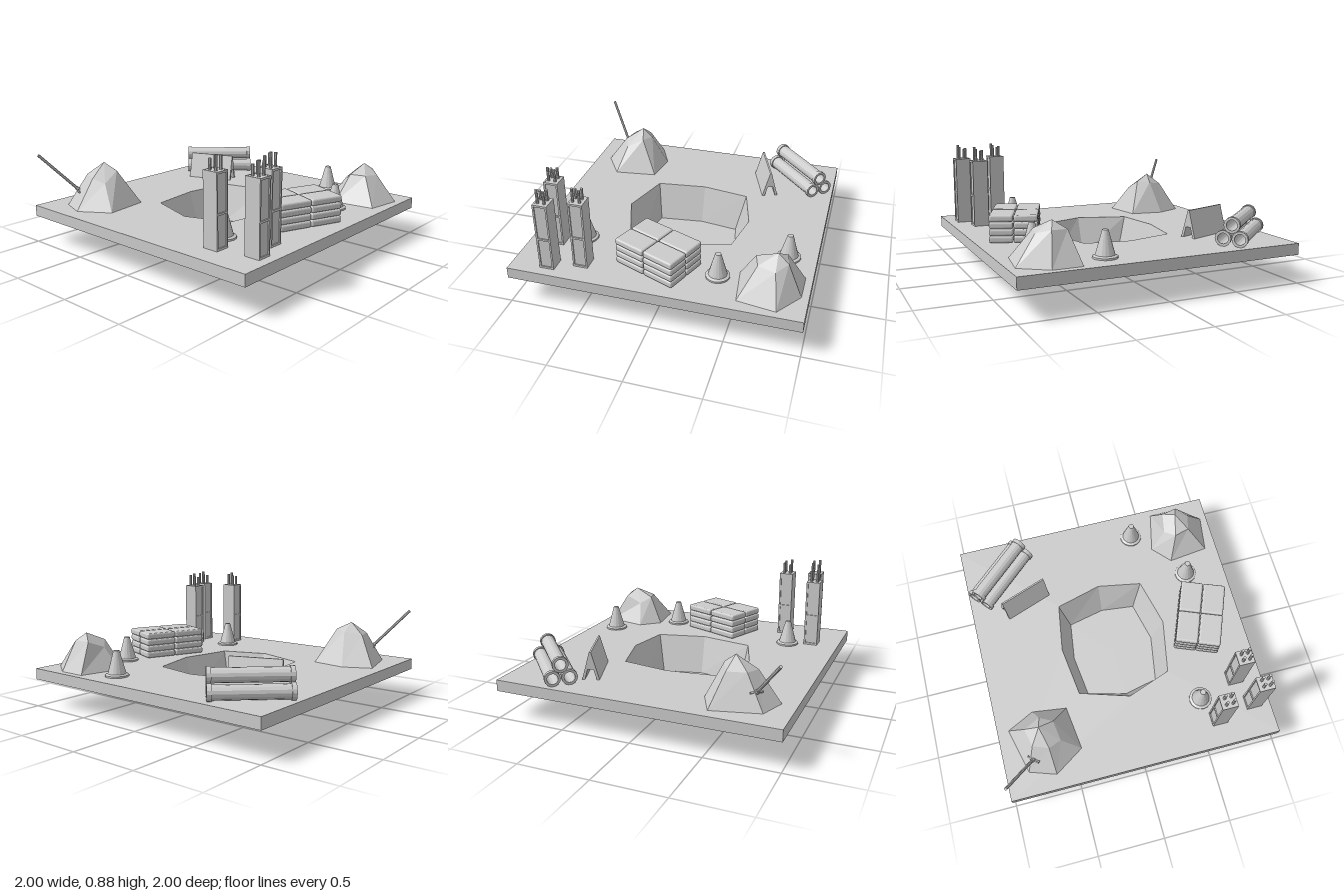
import * as THREE from 'three';
import { RoundedBoxGeometry } from 'three/addons/geometries/RoundedBoxGeometry.js';

const GROUND = 0.28;
const mat = new THREE.MeshStandardMaterial({ color: 0xcccccc, flatShading: true });
const openMat = new THREE.MeshStandardMaterial({ color: 0xcccccc, flatShading: true, side: THREE.DoubleSide });

function add(parent, name, geometry, x = 0, y = 0, z = 0, material = mat) {
  const mesh = new THREE.Mesh(geometry, material);
  mesh.name = name;
  mesh.position.set(x, y, z);
  parent.add(mesh);
  return mesh;
}

function addGroup(parent, name, x, y, z, turn = 0) {
  const g = new THREE.Group();
  g.name = name;
  g.position.set(x, y, z);
  g.rotation.y = turn;
  parent.add(g);
  return g;
}

// Joins two rings of [x, y, z] points and closes the inner one to a centre point.
function ringsToPoint(outer, inner, tip) {
  const pos = [];
  const n = outer.length;
  for (let i = 0; i < n; i++) {
    const j = (i + 1) % n;
    pos.push(...outer[j], ...outer[i], ...inner[i]);
    pos.push(...outer[j], ...inner[i], ...inner[j]);
    pos.push(...inner[j], ...inner[i], ...tip);
  }
  const geo = new THREE.BufferGeometry();
  geo.setAttribute('position', new THREE.Float32BufferAttribute(pos, 3));
  geo.computeVertexNormals();
  return geo;
}

const atHeight = (points, y) => points.map(([x, z]) => [x, y, z]);

function addGround(root) {
  const rim = [[-0.34, -0.36], [0, -0.45], [0.325, -0.39], [0.41, -0.035],
    [0.335, 0.355], [0.01, 0.47], [-0.35, 0.355], [-0.395, -0.01]];
  const floor = [[-0.275, -0.295], [0, -0.355], [0.255, -0.325], [0.325, -0.025],
    [0.265, 0.32], [0.01, 0.375], [-0.275, 0.32], [-0.315, -0.01]];
  const shape = new THREE.Shape([[-1, -1], [1, -1], [1, 1], [-1, 1]].map(p => new THREE.Vector2(...p)));
  shape.holes.push(new THREE.Path(rim.map(([x, z]) => new THREE.Vector2(x, -z))));
  add(root, 'groundTop', new THREE.ShapeGeometry(shape).rotateX(-Math.PI / 2), 0, GROUND, 0, openMat);
  const skirt = new THREE.CylinderGeometry(Math.SQRT2, Math.SQRT2, 0.08, 4, 1, true).rotateY(Math.PI / 4);
  add(root, 'groundSkirt', skirt, 0, 0.24, 0, openMat);
  add(root, 'pit', ringsToPoint(atHeight(rim, GROUND), atHeight(floor, 0), [0, 0, 0]), 0, 0, 0, openMat);
}

function addMounds(root) {
  const frontBase = [[-0.917, 0.5], [-0.72, 0.405], [-0.47, 0.44], [-0.43, 0.757], [-0.645, 0.895], [-0.835, 0.83]];
  const frontRing = [[-0.79, 0.5, 0.57], [-0.67, 0.52, 0.52], [-0.58, 0.53, 0.57],
    [-0.56, 0.46, 0.7], [-0.65, 0.49, 0.74], [-0.76, 0.5, 0.7]];
  add(root, 'frontDirtMound', ringsToPoint(atHeight(frontBase, GROUND), frontRing, [-0.685, 0.585, 0.6]), 0, 0, 0, openMat);
  const backBase = [[0.565, -0.95], [0.767, -0.95], [0.95, -0.82], [0.91, -0.555], [0.617, -0.52], [0.495, -0.655]];
  const backRing = [[0.62, 0.49, -0.83], [0.73, 0.495, -0.85], [0.81, 0.47, -0.78],
    [0.78, 0.48, -0.66], [0.67, 0.48, -0.63], [0.6, 0.44, -0.7]];
  add(root, 'backDirtMound', ringsToPoint(atHeight(backBase, GROUND), backRing, [0.7, 0.545, -0.775]), 0, 0, 0, openMat);
}

// Shovel stuck in the front mound
function addShovel(root) {
  const top = new THREE.Vector3(-0.98, 0.655, 0.965);
  const end = new THREE.Vector3(-0.775, 0.385, 0.765);
  const dir = top.clone().sub(end);
  const length = dir.length();
  const shovel = addGroup(root, 'shovel', end.x, end.y, end.z);
  const side = new THREE.Vector3(dir.z, 0, -dir.x).normalize();
  dir.normalize();
  shovel.quaternion.setFromRotationMatrix(new THREE.Matrix4().makeBasis(side, dir, side.clone().cross(dir)));
  add(shovel, 'shovelHandle', new THREE.CylinderGeometry(0.011, 0.011, length, 8), 0, length / 2, 0);
  add(shovel, 'shovelSocket', new THREE.CylinderGeometry(0.014, 0.018, 0.05, 8), 0, 0.01, 0);
  add(shovel, 'shovelBlade', new THREE.BoxGeometry(0.09, 0.11, 0.01), 0, -0.04, 0);
}

// Three hollow pipes with end collars, stacked in a pyramid
function addPipes(root) {
  const stack = addGroup(root, 'pipeStack', -0.718, GROUND, -0.717, Math.atan2(0.67, 0.74));
  const profile = [[0.037, -0.27], [0.055, -0.27], [0.055, -0.24], [0.048, -0.24],
    [0.048, 0.24], [0.055, 0.24], [0.055, 0.27], [0.037, 0.27], [0.037, -0.27]].map(p => new THREE.Vector2(...p));
  const pipe = new THREE.LatheGeometry(profile, 14).rotateZ(Math.PI / 2);
  for (const [y, z] of [[0.053, -0.057], [0.053, 0.057], [0.146, 0]]) add(stack, 'pipe', pipe, 0, y, z, openMat);
}

// A-frame barrier, open between its feet
function addBarrier(root) {
  const profile = [[-0.06, 0], [-0.006, 0.195], [0.006, 0.195], [0.06, 0],
    [0.04, 0], [0.02, 0.075], [-0.02, 0.075], [-0.04, 0]].map(p => new THREE.Vector2(...p));
  const geo = new THREE.ExtrudeGeometry(new THREE.Shape(profile), { depth: 0.363, bevelEnabled: false });
  geo.translate(0, 0, -0.1815).rotateY(Math.PI / 2);
  add(root, 'barrier', geo, -0.579, GROUND, -0.4715).rotation.y = 0.343;
}

// Four layers of two by two bags
function addBags(root) {
  const stack = addGroup(root, 'bagStack', 0.672, GROUND, 0.032, -0.38);
  const bag = new RoundedBoxGeometry(0.164, 0.047, 0.239, 2, 0.014);
  for (let layer = 0; layer < 4; layer++)
    for (const sx of [-1, 1])
      for (const sz of [-1, 1]) add(stack, 'bag', bag, sx * 0.0835, 0.025 + layer * 0.0485, sz * 0.121);
}

function addCones(root) {
  const profile = [[0.083, 0], [0.083, 0.012], [0.064, 0.02], [0.02, 0.18], [0, 0.18]].map(p => new THREE.Vector2(...p));
  const cone = new THREE.LatheGeometry(profile, 16);
  for (const [x, z] of [[0.36, -0.805], [0.695, -0.385], [0.51, 0.62]])
    add(root, 'trafficCone', cone, x, GROUND, z, openMat);
}

// Framed columns with reinforcing rods on top
function addColumns(root) {
  const height = 0.495;
  const core = new THREE.BoxGeometry(0.096, height - 0.002, 0.08);
  const plate = new THREE.BoxGeometry(0.112, height, 0.012);
  const bar = new THREE.BoxGeometry(0.01, 0.014, 0.08);
  for (const [x, z] of [[0.8, 0.527], [0.876, 0.737], [0.595, 0.793]]) {
    const column = addGroup(root, 'column', x, GROUND, z);
    add(column, 'columnCore', core, 0, height / 2, 0);
    for (const s of [-1, 1]) {
      add(column, 'columnPlate', plate, 0, height / 2, s * 0.045);
      for (const y of [0.007, 0.23, height - 0.007]) add(column, 'columnCrossbar', bar, s * 0.051, y, 0);
      for (const t of [-1, 1]) {
        const rod = 0.07 + (s > 0 ? 0.02 : 0) + (s * t > 0 ? 0.01 : 0);
        add(column, 'reinforcingRod', new THREE.CylinderGeometry(0.01, 0.01, rod, 8), s * 0.023, height + rod / 2, t * 0.023);
      }
    }
  }
}

export function createModel() {
  const root = new THREE.Group();
  root.name = 'constructionSite';
  for (const build of [addGround, addMounds, addShovel, addPipes, addBarrier, addBags, addCones, addColumns]) build(root);
  return root;
}
